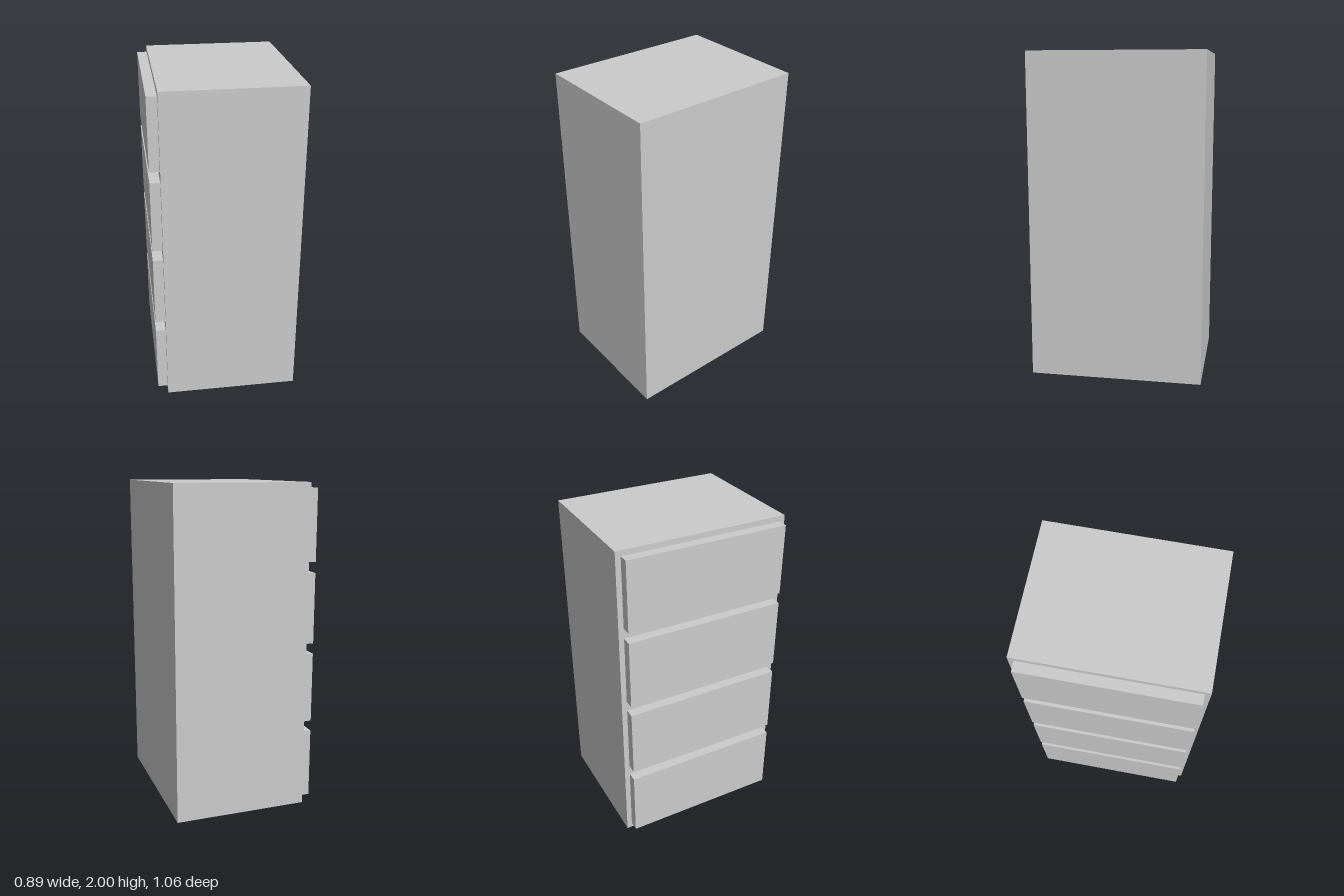
import * as THREE from 'three';

export function createModel() {
  const group = new THREE.Group();
  const material = new THREE.MeshStandardMaterial({ color: 0xcccccc, flatShading: true });

  // Adds a box spanning the given x and y ranges, centred on z = 0
  function addBox(name, x0, x1, y0, y1, depth) {
    const mesh = new THREE.Mesh(new THREE.BoxGeometry(x1 - x0, y1 - y0, depth), material);
    mesh.name = name;
    mesh.position.set((x0 + x1) / 2, (y0 + y1) / 2, 0);
    group.add(mesh);
  }

  // Cabinet body
  const faceX = -0.382;
  addBox('cabinetBody', faceX, 0.443, 0, 2, 1.062);

  // Four drawer fronts stacked on the -x face
  const pitch = 0.5, gap = 0.033;
  for (let i = 0; i < 4; i++) {
    addBox(`drawerFront${i + 1}`, -0.443, faceX, i * pitch + gap, (i + 1) * pitch - gap, 0.997);
  }

  return group;
}
